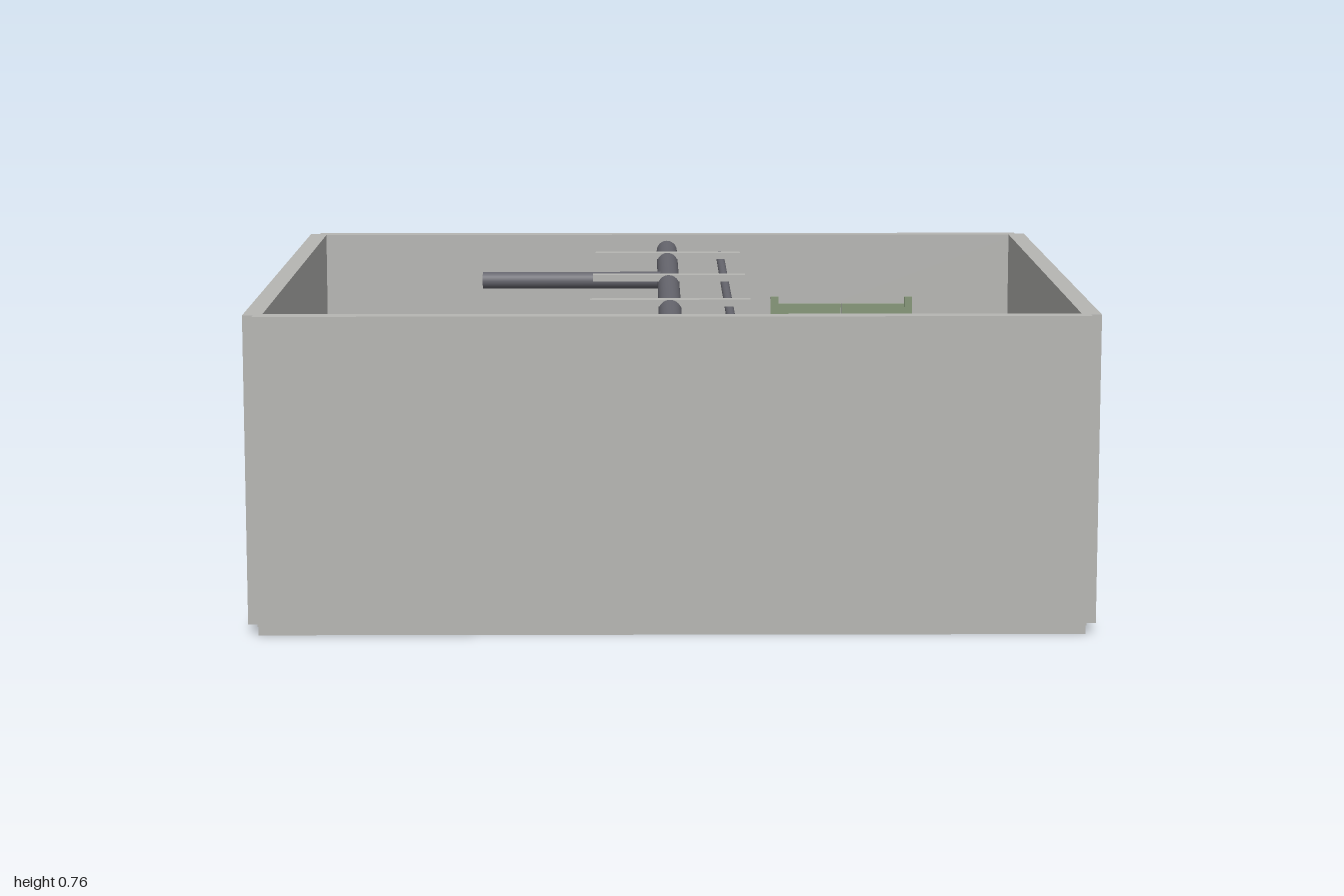
import * as THREE from 'three';

export function createModel() {
  const room = new THREE.Group();
  room.name = 'workshopRoom';
  const mat = (name, color, side = THREE.FrontSide) => {
    const m = new THREE.MeshStandardMaterial({ color, side });
    m.name = name;
    return m;
  };
  const concrete = mat('concrete grey', 0xb6b6b3);
  const green = mat('machine green', 0x859678);
  const steel = mat('pipe steel', 0x66666e);

  const add = (name, geo, material, x, y, z, parent = room) => {
    const m = new THREE.Mesh(geo, material);
    m.name = name;
    m.position.set(x, y, z);
    parent.add(m);
    return m;
  };
  // Box given by its lower and upper limits on each axis
  const box = (name, material, [x0, x1], [y0, y1], [z0, z1], parent) =>
    add(name, new THREE.BoxGeometry(x1 - x0, y1 - y0, z1 - z0), material,
      (x0 + x1) / 2, (y0 + y1) / 2, (z0 + z1) / 2, parent);
  const group = (name) => {
    const g = new THREE.Group();
    g.name = name;
    room.add(g);
    return g;
  };

  // Floor slab and four walls with notched corners
  const floor = 0.03;
  box('floorSlab', concrete, [-0.975, 0.975], [0, floor], [-0.855, 0.855]);
  const wallY = [0.025, 0.76];
  for (const s of [-1, 1]) {
    const cx = s * 0.9775, cz = s * 0.8525;
    box(s > 0 ? 'leftWall' : 'rightWall', concrete, [cx - 0.0225, cx + 0.0225], wallY, [-0.85, 0.85]);
    box(s > 0 ? 'frontWall' : 'backWall', concrete, [-0.975, 0.975], wallY, [cz - 0.0225, cz + 0.0225]);
  }

  // Overhead pipes and their hangers
  const pipes = group('overheadPipes');
  const pipe = (name, r, len, x, y, z, alongX) => {
    const geo = new THREE.CylinderGeometry(r, r, len, 24);
    if (alongX) geo.rotateZ(Math.PI / 2);
    else geo.rotateX(Math.PI / 2);
    add(name, geo, steel, x, y, z, pipes);
  };
  pipe('mainPipe', 0.028, 1.535, -0.003, 0.722, -0.002, false);
  pipe('thinPipe', 0.011, 1.505, 0.144, 0.712, -0.002, false);
  pipe('branchPipe', 0.022, 0.47, -0.25, 0.72, -0.125, true);
  for (const z of [-0.493, -0.004, 0.485]) {
    box('pipeHanger', concrete, [-0.197, 0.193], [0.733, 0.75], [z - 0.015, z + 0.015], pipes);
  }

  // Large machine on a low plinth
  const machine = group('largeMachine');
  box('plinth', concrete, [-0.805, 0.07], [floor, 0.06], [0, 0.49], machine);
  box('lowerBody', green, [-0.805, 0.07], [0.06, 0.28], [0.1, 0.488], machine);
  box('upperBody', green, [-0.79, 0.06], [0.28, 0.355], [0.088, 0.295], machine);
  for (const x of [-0.8, 0.07]) {
    box('endCap', green, [x - 0.02, x + 0.02], [0.06, 0.357], [0.082, 0.3], machine);
  }
  const motor = new THREE.CylinderGeometry(0.055, 0.055, 0.1, 24);
  add('motorDrum', motor, green, 0.065, 0.22, 0.19, machine);
  add('topBolt', new THREE.CylinderGeometry(0.008, 0.008, 0.008, 12), steel, -0.41, 0.357, 0.23, machine);
  for (const x of [-0.66, -0.37]) {
    box('frontHandle', green, [x - 0.018, x + 0.018], [0.19, 0.22], [0.485, 0.498], machine);
  }

  // Work table: framed top with a pale inset, on four legs
  const table = group('workTable');
  box('tableTop', green, [0.243, 0.727], [0.235, 0.26], [0.21, 0.373], table);
  box('tableInset', concrete, [0.266, 0.603], [0.257, 0.263], [0.224, 0.359], table);
  for (const x of [0.256, 0.714]) {
    for (const z of [0.223, 0.36]) {
      box('tableLeg', green, [x - 0.012, x + 0.012], [floor, 0.24], [z - 0.012, z + 0.012], table);
    }
  }

  // Control console with a sloping front half
  const profile = new THREE.Shape([[0.275, floor], [0.405, floor], [0.405, 0.5], [0.345, 0.5], [0.275, 0.47]]
    .map(([z, y]) => new THREE.Vector2(z, y)));
  const consoleGeo = new THREE.ExtrudeGeometry(profile, { depth: 0.335, bevelEnabled: false });
  consoleGeo.rotateY(Math.PI / 2);
  const desk = group('controlConsole');
  add('consoleBody', consoleGeo, green, 0.515, 0, 0, desk);
  for (let i = 0; i < 3; i++) {
    const dial = new THREE.CylinderGeometry(0.018, 0.018, 0.008, 16);
    dial.rotateX(Math.PI / 2);
    add('dial', dial, steel, 0.58 + i * 0.1, 0.42, -0.273, desk);
  }

  // Double door on the back wall
  const door = group('doubleDoor');
  for (const x of [0.3, 0.675]) {
    box('doorPost', green, [x - 0.011, x + 0.011], [floor, 0.585], [-0.832, -0.818], door);
  }
  for (const x of [0.398, 0.577]) {
    box('doorLeaf', green, [x - 0.088, x + 0.088], [floor, 0.565], [-0.832, -0.824], door);
  }
  return room;
}
